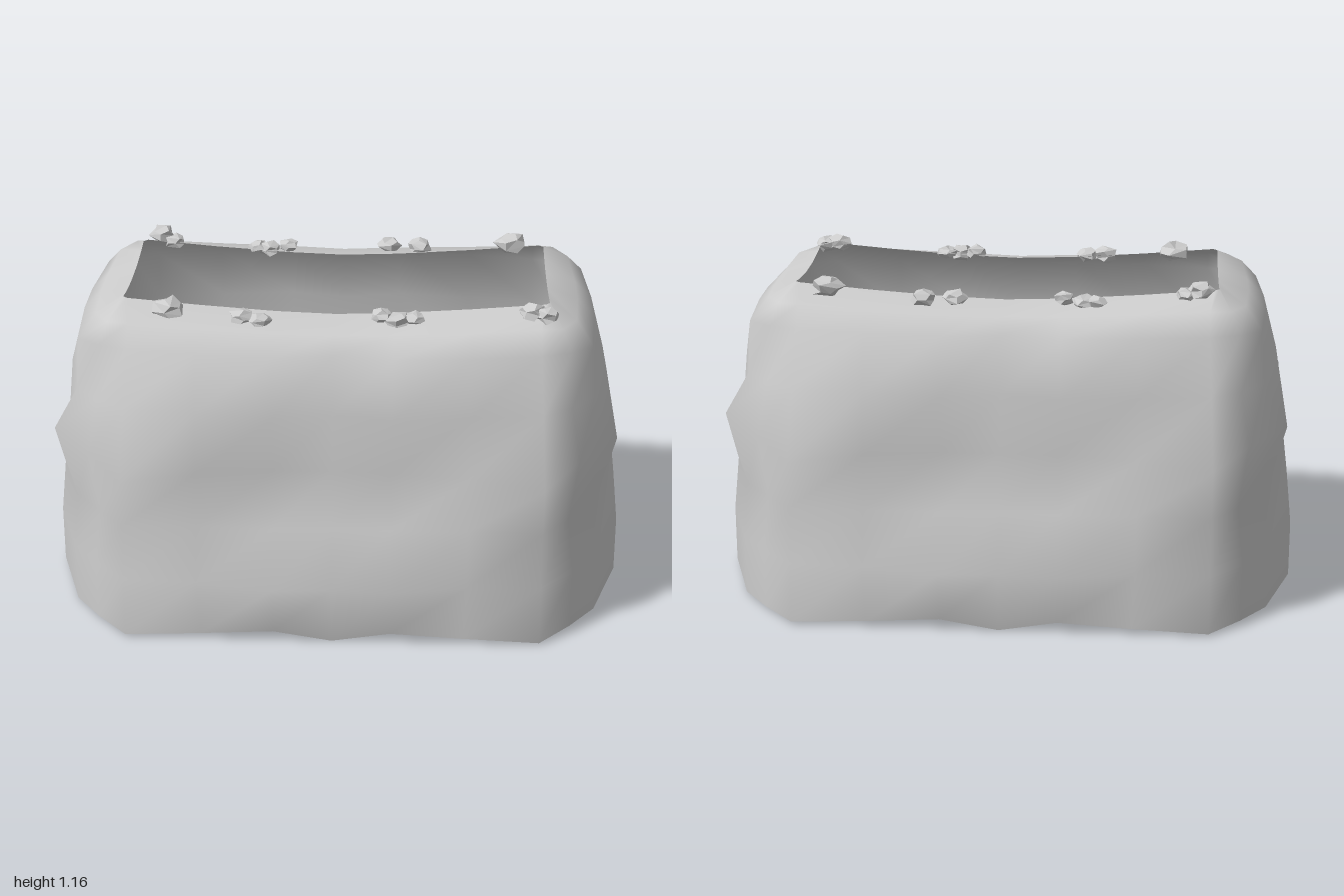
import * as THREE from 'three';

// Cross-sections of one quadrant, bottom to top, from front middle to the +x end.
// Each ring: height, then [x, z] for the seven columns.
const RINGS = [
  [0.01, [[0, 0.635], [0.2, 0.645], [0.45, 0.637], [0.71, 0.635], [0.82, 0.51], [0.91, 0.385], [1.0, 0.1]]],
  [0.22, [[0, 0.675], [0.2, 0.69], [0.46, 0.64], [0.71, 0.63], [0.82, 0.51], [0.91, 0.385], [1.0, 0.1]]],
  [0.41, [[0, 0.59], [0.2, 0.6], [0.46, 0.595], [0.71, 0.6], [0.8, 0.49], [0.895, 0.365], [0.98, 0.1]]],
  [0.61, [[0, 0.56], [0.2, 0.565], [0.46, 0.58], [0.71, 0.62], [0.83, 0.49], [0.96, 0.38], [0.955, 0.1]]],
  [0.81, [[0, 0.54], [0.2, 0.585], [0.46, 0.55], [0.7, 0.53], [0.8, 0.45], [0.88, 0.355], [0.935, 0.1]]],
  [1.0, [[0, 0.49], [0.2, 0.52], [0.46, 0.5], [0.69, 0.465], [0.79, 0.43], [0.865, 0.37], [0.885, 0.09]]],
  [1.06, [[0, 0.42], [0.2, 0.43], [0.46, 0.42], [0.69, 0.41], [0.76, 0.4], [0.81, 0.31], [0.825, 0.08]]],
  [1.11, [[0, 0.29], [0.2, 0.29], [0.46, 0.29], [0.705, 0.29], [0.72, 0.275], [0.72, 0.2], [0.72, 0.08]]],
];
// Height offsets per column that make some of the rings wavy
const WAVES = {
  0: [-0.008, 0.03, 0.012, 0, 0, 0, 0.01],
  3: [0, 0, -0.01, -0.03, 0.02, 0.06, 0],
  6: [-0.015, -0.01, 0, 0.012, 0.012, 0.01, 0],
  7: [-0.04, -0.033, -0.015, 0.006, 0.006, -0.005, -0.015],
};

// Open shell: mirror the quadrant four ways and stitch the rings
function shellGeometry() {
  const order = [];
  for (let i = 0; i <= 6; i++) order.push([i, 1, 1]);
  for (let i = 6; i >= 0; i--) order.push([i, 1, -1]);
  for (let i = 1; i <= 6; i++) order.push([i, -1, -1]);
  for (let i = 6; i >= 1; i--) order.push([i, -1, 1]);

  const n = order.length;
  const positions = [], indices = [];
  RINGS.forEach(([y, points], r) => {
    for (const [i, sx, sz] of order) {
      positions.push(points[i][0] * sx, y + (WAVES[r]?.[i] ?? 0), points[i][1] * sz);
    }
  });
  for (let r = 0; r < RINGS.length - 1; r++) {
    for (let i = 0; i < n; i++) {
      const a = r * n + i, b = r * n + (i + 1) % n;
      indices.push(a, b, b + n, a, b + n, a + n);
    }
  }
  const geometry = new THREE.BufferGeometry();
  geometry.setAttribute('position', new THREE.Float32BufferAttribute(positions, 3));
  geometry.setIndex(indices);
  geometry.computeVertexNormals();
  return geometry;
}

// Faceted pebble: a dodecahedron whose corners are pushed in and out
function pebbleGeometry(seed) {
  const geometry = new THREE.DodecahedronGeometry(1, 0);
  const p = geometry.attributes.position;
  const v = new THREE.Vector3();
  for (let i = 0; i < p.count; i++) {
    v.fromBufferAttribute(p, i);
    const wobble = Math.sin(v.x * 7.1 + v.y * 11.3 + v.z * 5.7 + seed * 2.3);
    v.multiplyScalar(1 + 0.15 * wobble);
    p.setXYZ(i, v.x, v.y, v.z);
  }
  geometry.computeVertexNormals();
  return geometry;
}

// Pebbles around the rim: x, y, z, radius
const PEBBLES = [
  [-0.66, 1.125, -0.335, 0.044], [-0.61, 1.105, -0.315, 0.038],
  [-0.31, 1.08, -0.34, 0.036], [-0.265, 1.075, -0.33, 0.04], [-0.2, 1.09, -0.325, 0.034],
  [0.165, 1.09, -0.35, 0.042], [0.275, 1.085, -0.345, 0.042],
  [0.605, 1.115, -0.325, 0.056],
  [-0.56, 1.095, 0.325, 0.056],
  [-0.315, 1.075, 0.345, 0.042], [-0.25, 1.072, 0.36, 0.04],
  [0.155, 1.08, 0.33, 0.036], [0.21, 1.074, 0.345, 0.042], [0.265, 1.076, 0.335, 0.038],
  [0.66, 1.105, 0.33, 0.042], [0.71, 1.1, 0.345, 0.044],
];

export function createModel() {
  const model = new THREE.Group();
  model.name = 'hollowMound';

  const shell = new THREE.Mesh(
    shellGeometry(),
    new THREE.MeshStandardMaterial({ color: 0xcccccc, side: THREE.DoubleSide })
  );
  shell.name = 'shell';
  model.add(shell);

  const stone = new THREE.MeshStandardMaterial({ color: 0xcccccc, flatShading: true });
  const pebbles = new THREE.Group();
  pebbles.name = 'rimPebbles';
  PEBBLES.forEach(([x, y, z, r], i) => {
    const pebble = new THREE.Mesh(pebbleGeometry(i), stone);
    pebble.name = 'pebble';
    pebble.position.set(x, y, z);
    pebble.scale.set(r, r * 0.7, r * 1.05);
    pebble.rotation.y = i * 1.3;
    pebbles.add(pebble);
  });
  model.add(pebbles);
  return model;
}
